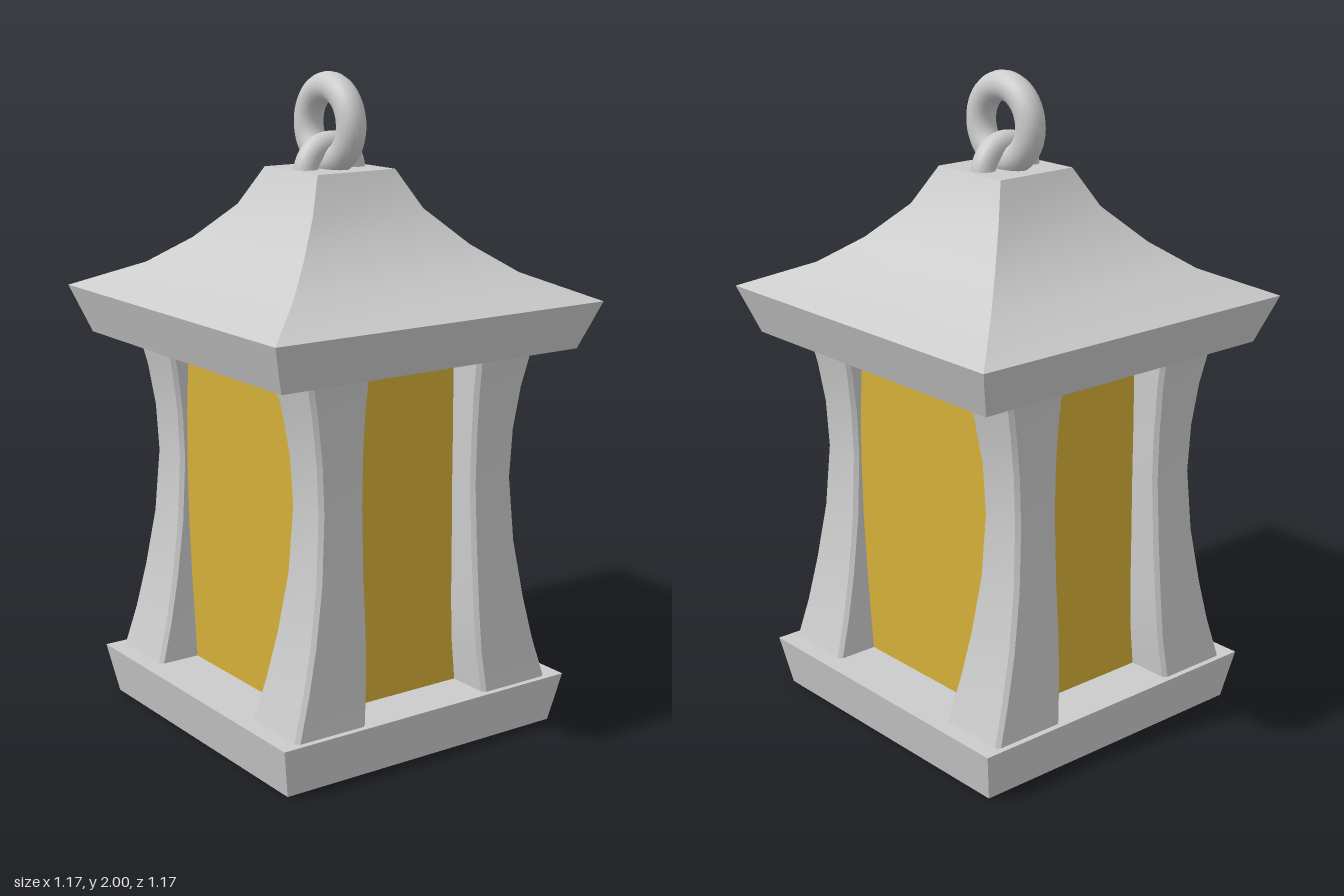
import * as THREE from 'three';
import { toCreasedNormals } from 'three/addons/utils/BufferGeometryUtils.js';

const metal = new THREE.MeshStandardMaterial({ color: 0xcccccc });
const amber = new THREE.MeshStandardMaterial({ color: 0xd4af37 });

// Rectangle outline, counter-clockwise from above, with optional chamfered corners
function outline([y, x0, x1, z0, z1], b) {
  const pts = b === 0
    ? [[x1, z1], [x1, z0], [x0, z0], [x0, z1]]
    : [[x1, z1 - b], [x1, z0 + b], [x1 - b, z0], [x0 + b, z0],
       [x0, z0 + b], [x0, z1 - b], [x0 + b, z1], [x1 - b, z1]];
  return pts.map(([x, z]) => [x, y, z]);
}

// Closed solid through stacked rectangles [y, x0, x1, z0, z1]
function loft(sections, bevel = 0) {
  const rings = sections.map((s) => outline(s, bevel));
  const n = rings[0].length;
  const pos = [];
  const tri = (a, b, c) => pos.push(...a, ...b, ...c);
  for (let k = 0; k < rings.length - 1; k++) {
    const lo = rings[k], hi = rings[k + 1];
    for (let i = 0; i < n; i++) {
      const j = (i + 1) % n;
      tri(lo[i], lo[j], hi[j]);
      tri(lo[i], hi[j], hi[i]);
    }
  }
  const bottom = rings[0], top = rings[rings.length - 1];
  for (let i = 1; i < n - 1; i++) {
    tri(bottom[0], bottom[i + 1], bottom[i]);
    tri(top[0], top[i], top[i + 1]);
  }
  const g = new THREE.BufferGeometry();
  g.setAttribute('position', new THREE.Float32BufferAttribute(pos, 3));
  return toCreasedNormals(g, 0.45);
}

// Centred square section from a half width and a height
const square = ([h, y]) => [y, -h, h, -h, h];

export function createModel() {
  const group = new THREE.Group();
  const add = (name, geometry, material = metal) => {
    const mesh = new THREE.Mesh(geometry, material);
    mesh.name = name;
    group.add(mesh);
    return mesh;
  };

  // Flared base slab and swept pagoda roof
  add('base', loft([[0.49, 0], [0.52, 0.155]].map(square)));
  add('roof', loft([
    [0.53, 1.19], [0.583, 1.335], [0.405, 1.415], [0.3, 1.495],
    [0.2, 1.6], [0.14, 1.715],
  ].map(square)));

  // Waisted corner posts: y, inner x, outer x, inner z, outer z
  const spine = [
    [0.14, 0.22, 0.47, 0.262, 0.503], [0.28, 0.206, 0.428, 0.276, 0.49],
    [0.42, 0.201, 0.395, 0.288, 0.48], [0.6, 0.2, 0.364, 0.3, 0.466],
    [0.8, 0.198, 0.35, 0.305, 0.456], [0.95, 0.198, 0.358, 0.301, 0.459],
    [1.08, 0.197, 0.378, 0.292, 0.468], [1.2, 0.195, 0.406, 0.279, 0.483],
  ];
  for (const [side, sx] of [['Left', 1], ['Right', -1]]) {
    for (const [end, sz] of [['front', 1], ['back', -1]]) {
      const sections = spine.map(([y, xi, xo, zi, zo]) => [
        y, Math.min(sx * xi, sx * xo), Math.max(sx * xi, sx * xo),
        Math.min(sz * zi, sz * zo), Math.max(sz * zi, sz * zo),
      ]);
      add(`${end}${side}Post`, loft(sections, 0.012));
    }
  }

  // Amber panes enclosing the lamp between the posts
  add('glassPanes', new THREE.BoxGeometry(0.66, 1.06, 0.72), amber).position.y = 0.67;

  // Small loop fixed across the roof cap, with the hanging ring through it
  add('roofLoop', new THREE.TorusGeometry(0.088, 0.037, 16, 40)).position.y = 1.7;
  const ring = add('hangingRing', new THREE.TorusGeometry(0.11, 0.045, 18, 48));
  ring.rotation.y = Math.PI / 2;
  ring.position.y = 1.845;

  return group;
}
